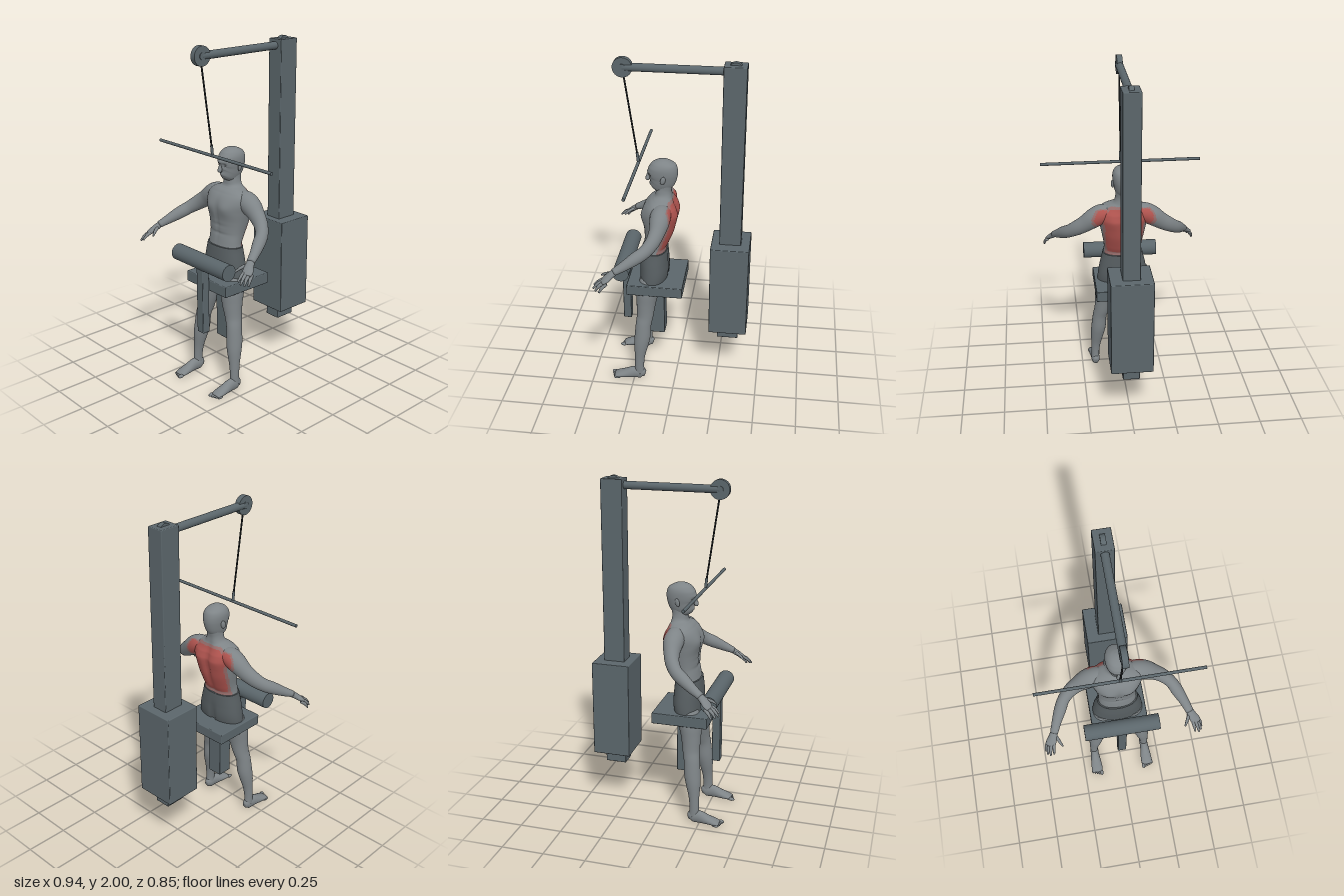
import * as THREE from 'three';
import { RoundedBoxGeometry } from 'three/addons/geometries/RoundedBoxGeometry.js';

const material = (name, color) => Object.assign(new THREE.MeshStandardMaterial({ color }), { name });
const gauss = (d, w) => Math.exp(-((d / w) ** 2));

// Smooth skin through oval rings. Row: x, y, z, half width, half depth; depth points along ref.
function loft(rows, ref, { rings = 32, sides = 32, power = 1, tweak, paint } = {}) {
  const path = new THREE.CatmullRomCurve3(rows.map(r => new THREE.Vector3(r[0], r[1], r[2])), false, 'catmullrom');
  const size = new THREE.CatmullRomCurve3(rows.map(r => new THREE.Vector3(r[3], r[4], 0)), false, 'catmullrom');
  const bend = v => Math.sign(v) * Math.abs(v) ** power;
  const pts = [], tris = [];
  for (let i = 0; i <= rings; i++) {
    const c = path.getPoint(i / rings), s = size.getPoint(i / rings), t = path.getTangent(i / rings);
    const v = ref.clone().addScaledVector(t, -ref.dot(t)).normalize();
    const u = v.clone().cross(t);
    for (let j = 0; j < sides; j++) {
      const a = j / sides * Math.PI * 2;
      const p = c.clone().addScaledVector(u, s.x * bend(Math.cos(a))).addScaledVector(v, s.y * bend(Math.sin(a)));
      if (tweak) tweak(p, c);
      pts.push(p);
    }
  }
  for (let i = 0; i < rings; i++) for (let j = 0; j < sides; j++) {
    const k = (j + 1) % sides, a = i * sides, b = a + sides;
    tris.push([a + j, a + k, b + k], [a + j, b + k, b + j]);
  }
  // End caps
  const first = pts.length, end = rings * sides;
  pts.push(path.getPoint(0), path.getPoint(1));
  for (let j = 0; j < sides; j++) {
    const k = (j + 1) % sides;
    tris.push([first, k, j], [first + 1, end + j, end + k]);
  }
  const geo = new THREE.BufferGeometry().setFromPoints(pts);
  if (paint) {
    // Sort the faces into one group per colour
    const bins = [[], [], []];
    for (const t of tris) {
      const m = new THREE.Vector3();
      t.forEach(i => m.addScaledVector(pts[i], 1 / 3));
      bins[paint(m)].push(...t);
    }
    let start = 0;
    bins.forEach((b, i) => { geo.addGroup(start, b.length, i); start += b.length; });
    geo.setIndex(bins.flat());
  } else geo.setIndex(tris.flat());
  geo.computeVertexNormals();
  return geo;
}

// Upright rows from y, back z, front z, half width
const upright = rows => rows.map(([y, zb, zf, w]) => [0, y, (zb + zf) / 2, w, (zf - zb) / 2]);

export function createModel() {
  const root = new THREE.Group();
  root.name = 'pulldownMachineWithFigure';
  const metal = material('machineGrey', 0x5b666b);
  const skin = material('skinGrey', 0x7e8487);
  const cloth = material('shortsGrey', 0x565d60);
  const red = material('muscleRed', 0xb0544f);
  const blend = material('muscleEdge', 0x966d6b);
  const black = material('cableBlack', 0x1c1f20);
  const X = new THREE.Vector3(1, 0, 0), Y = new THREE.Vector3(0, 1, 0), Z = new THREE.Vector3(0, 0, 1);

  const add = (name, geo, mat) => {
    const mesh = new THREE.Mesh(geo, mat);
    mesh.name = name;
    root.add(mesh);
    return mesh;
  };
  const box = (name, w, y0, y1, z0, z1) =>
    add(name, new RoundedBoxGeometry(w, y1 - y0, z1 - z0, 2, 0.005), metal).position.set(0, (y0 + y1) / 2, (z0 + z1) / 2);
  const rod = (name, a, b, r, mat = metal) => {
    const p = new THREE.Vector3(...a), d = new THREE.Vector3(...b).sub(p);
    const mesh = add(name, new THREE.CylinderGeometry(r, r, d.length(), 32), mat);
    mesh.position.copy(p).addScaledVector(d, 0.5);
    mesh.quaternion.setFromUnitVectors(Y, d.normalize());
  };
  const ball = (name, x, y, z, sx, sy, sz, mat = skin) => {
    const mesh = add(name, new THREE.SphereGeometry(1, 20, 14), mat);
    mesh.position.set(x, y, z);
    mesh.scale.set(sx, sy, sz);
    return mesh;
  };

  // Machine frame
  box('column', 0.1, 0.265, 1.985, -0.373, -0.247);
  box('weightStack', 0.244, 0.345, 0.92, -0.425, -0.2);
  box('seat', 0.344, 0.605, 0.67, -0.045, 0.285);
  box('seatPost', 0.096, 0.265, 0.61, 0.076, 0.168);
  box('padPost', 0.054, 0.345, 0.78, 0.284, 0.333);
  rod('thighPad', [-0.225, 0.78, 0.306], [0.225, 0.78, 0.306], 0.048);
  rod('topArm', [0, 1.948, -0.26], [0, 1.948, 0.3], 0.0225);
  rod('rearPulley', [-0.014, 1.96, -0.31], [0.014, 1.96, -0.31], 0.04);
  rod('frontPulley', [-0.016, 1.948, 0.3], [0.016, 1.948, 0.3], 0.055);
  rod('pulleyHub', [-0.021, 1.948, 0.3], [0.021, 1.948, 0.3], 0.02);

  // Cable and handle bar
  rod('cable', [0, 1.9, 0.295], [0, 1.44, 0.23], 0.005, black);
  rod('cableClip', [0, 1.45, 0.231], [0, 1.39, 0.225], 0.008);
  rod('handleBar', [-0.47, 1.39, 0.225], [0.47, 1.39, 0.225], 0.009);

  // Torso with neck; the back muscles are red
  const torsoPaint = p => {
    if (p.y > 1.185 || p.y < 0.855) return 0;
    const edge = p.y > 1.05 ? 0.04 : 0.04 + (1.05 - p.y) * 0.35;
    if (p.z < edge - 0.008 && p.y < 1.17 && p.y > 0.875) return 2;
    return p.z < edge + 0.008 ? 1 : 0;
  };
  const torsoTweak = (p, c) => {
    const x = Math.abs(p.x);
    if (p.z > c.z) {
      p.z += 0.012 * gauss(x - 0.06, 0.045) * gauss(p.y - 1.085, 0.04);
      p.z -= 0.005 * gauss(x, 0.01) * gauss(p.y - 1.0, 0.12);
      p.z -= 0.003 * gauss(x, 0.06) * (gauss(p.y - 0.93, 0.008) + gauss(p.y - 0.98, 0.008));
    } else {
      p.z += 0.018 * gauss(x, 0.02) * gauss(p.y - 1.03, 0.14);
      p.z -= 0.008 * gauss(x - 0.07, 0.035) * gauss(p.y - 1.11, 0.06);
    }
  };
  add('torso', loft(upright([
    [0.83, 0.06, 0.21, 0.116], [0.88, 0.065, 0.2, 0.112], [0.93, 0.042, 0.195, 0.115],
    [1.0, 0.014, 0.198, 0.128], [1.06, 0, 0.203, 0.14], [1.11, -0.005, 0.198, 0.15],
    [1.15, 0.005, 0.172, 0.145], [1.178, 0.02, 0.145, 0.105], [1.2, 0.03, 0.13, 0.06],
    [1.235, 0.033, 0.125, 0.046], [1.285, 0.025, 0.12, 0.045],
  ]), Z, { rings: 80, sides: 72, power: 0.9, tweak: torsoTweak, paint: torsoPaint }), [skin, blend, red]);

  // Head with brow, sockets, cheeks and lips shaped in
  add('head', loft(upright([
    [1.232, 0.1, 0.155, 0.018], [1.245, 0.07, 0.168, 0.036], [1.27, 0.035, 0.17, 0.048],
    [1.3, 0.01, 0.17, 0.055], [1.335, 0, 0.172, 0.061], [1.37, 0.003, 0.166, 0.061],
    [1.395, 0.02, 0.15, 0.051], [1.412, 0.05, 0.12, 0.031], [1.419, 0.075, 0.095, 0.008],
  ]), Z, {
    rings: 64, sides: 64, power: 0.95, tweak: (p, c) => {
      if (p.z < c.z + 0.03) return;
      const x = Math.abs(p.x);
      p.z -= 0.011 * gauss(x - 0.023, 0.013) * gauss(p.y - 1.325, 0.011);
      p.z += 0.004 * gauss(x, 0.035) * gauss(p.y - 1.345, 0.008);
      p.z += 0.004 * gauss(x, 0.014) * (gauss(p.y - 1.274, 0.004) + gauss(p.y - 1.265, 0.004));
    },
  }), skin);
  add('nose', loft([
    [0, 1.338, 0.166, 0.006, 0.006], [0, 1.315, 0.171, 0.008, 0.01],
    [0, 1.296, 0.173, 0.013, 0.013], [0, 1.287, 0.168, 0.009, 0.007],
  ], Z, { rings: 14, sides: 16 }), skin);

  // Shorts
  add('shorts', loft(upright([
    [0.62, 0.075, 0.225, 0.155], [0.7, 0.053, 0.223, 0.15], [0.77, 0.054, 0.222, 0.138],
    [0.83, 0.058, 0.216, 0.124], [0.855, 0.06, 0.212, 0.12],
  ]), Z, {
    rings: 30, sides: 48, power: 0.9,
    tweak: (p, c) => { if (p.z < c.z) p.z += 0.016 * gauss(p.x, 0.015) * gauss(p.y - 0.7, 0.07); },
  }), cloth);

  for (const s of [1, -1]) {
    const side = s > 0 ? 'left' : 'right';
    const flip = rows => rows.map(([x, ...rest]) => [s * x, ...rest]);
    const limb = (name, rows, ref, opts, mat = skin) => add(side + name, loft(flip(rows), ref, opts), mat);

    // Face and chest details
    ball(side + 'Ear', s * 0.062, 1.312, 0.078, 0.008, 0.025, 0.015).rotation.set(-0.2, s * 0.3, 0);
    ball(side + 'Eye', s * 0.023, 1.325, 0.149, 0.009, 0.006, 0.008);
    ball(side + 'Nipple', s * 0.075, 1.062, 0.186, 0.008, 0.008, 0.006);

    // Arm, with red at the back of the shoulder
    limb('Arm', [
      [0.06, 1.13, 0.078, 0.045, 0.045], [0.12, 1.125, 0.082, 0.058, 0.057], [0.17, 1.1, 0.084, 0.056, 0.058],
      [0.22, 1.063, 0.092, 0.045, 0.05], [0.27, 1.028, 0.11, 0.039, 0.044], [0.315, 0.993, 0.145, 0.035, 0.038],
      [0.345, 0.963, 0.195, 0.035, 0.036], [0.375, 0.93, 0.252, 0.028, 0.028], [0.4, 0.9, 0.308, 0.023, 0.019],
    ], Y, {
      rings: 48, sides: 40,
      paint: p => {
        const edge = 0.046 - Math.max(0, Math.abs(p.x) - 0.15) * 0.5;
        if (p.y > 1.168 || Math.abs(p.x) > 0.2) return 0;
        return p.z < edge - 0.006 ? 2 : p.z < edge + 0.006 ? 1 : 0;
      },
    }, [skin, blend, red]);

    // Hand
    limb('Palm', [
      [0.396, 0.905, 0.298, 0.021, 0.018], [0.411, 0.882, 0.328, 0.026, 0.017],
      [0.425, 0.864, 0.35, 0.03, 0.014], [0.434, 0.85, 0.368, 0.025, 0.009],
    ], Y, { rings: 16, sides: 24 });
    [
      [[0.409, 0.865, 0.35], [0.414, 0.85, 0.385], [0.419, 0.825, 0.415]],
      [[0.423, 0.86, 0.355], [0.434, 0.842, 0.39], [0.441, 0.814, 0.417]],
      [[0.436, 0.855, 0.35], [0.448, 0.835, 0.382], [0.456, 0.808, 0.403]],
      [[0.446, 0.85, 0.34], [0.458, 0.828, 0.365], [0.464, 0.802, 0.381]],
      [[0.396, 0.89, 0.32], [0.378, 0.876, 0.355], [0.362, 0.855, 0.383]],
    ].forEach((f, i) => limb('Finger' + (i + 1), [
      [...f[0], 0.01, 0.01], [...f[1], 0.009, 0.009], [...f[2], 0.005, 0.005],
    ], Y, { rings: 10, sides: 12 }));

    // Leg
    limb('Leg', [
      [0.085, 0.665, 0.145, 0.066, 0.07], [0.095, 0.6, 0.168, 0.071, 0.068], [0.106, 0.52, 0.178, 0.061, 0.058],
      [0.122, 0.44, 0.183, 0.048, 0.05], [0.137, 0.38, 0.192, 0.043, 0.047], [0.145, 0.3, 0.198, 0.045, 0.048],
      [0.153, 0.24, 0.206, 0.041, 0.043], [0.163, 0.16, 0.214, 0.03, 0.031], [0.168, 0.09, 0.217, 0.025, 0.028],
      [0.168, 0.04, 0.215, 0.025, 0.03],
    ], Z, { rings: 56, sides: 36 });

    // Foot and toes, flat on the floor
    const floor = p => { p.y = Math.max(p.y, 0); };
    limb('Foot', [
      [0.167, 0.03, 0.183, 0.014, 0.018], [0.167, 0.038, 0.205, 0.025, 0.037], [0.168, 0.038, 0.25, 0.027, 0.038],
      [0.168, 0.027, 0.3, 0.033, 0.027], [0.168, 0.018, 0.345, 0.036, 0.018], [0.168, 0.012, 0.37, 0.032, 0.01],
    ], Y, { rings: 28, sides: 28, tweak: floor });
    for (let i = 0; i < 5; i++) {
      const r = i ? 0.0075 : 0.011;
      ball(side + 'Toe' + (i + 1), s * (0.142 + i * 0.0142), r + 0.001, 0.374 - i * 0.005, r, r, 0.02);
    }
  }
  return root;
}
